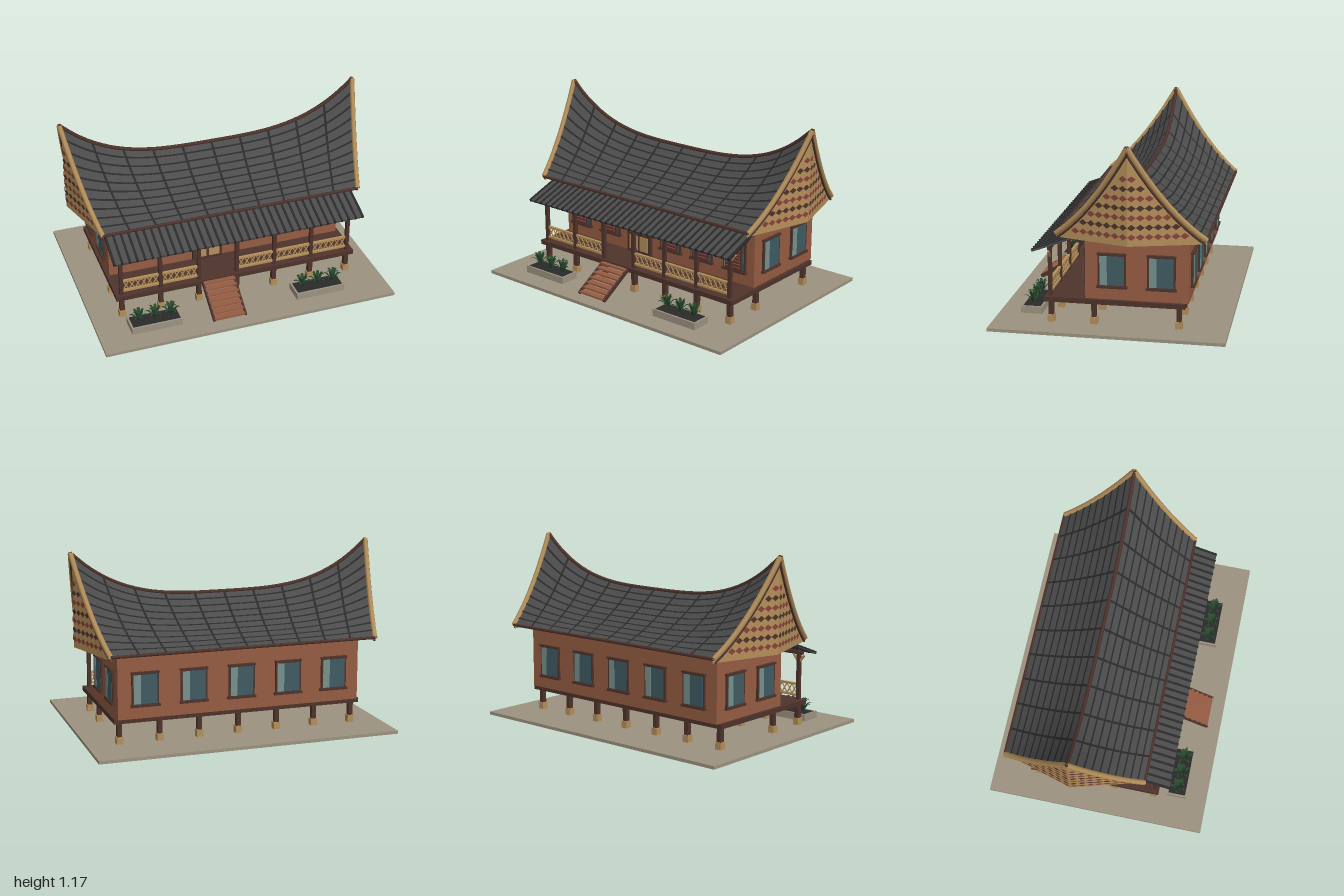
import * as THREE from 'three';
import { mergeGeometries } from 'three/addons/utils/BufferGeometryUtils.js';
import { ParametricGeometry } from 'three/addons/geometries/ParametricGeometry.js';

const mat = (name, color, side = THREE.FrontSide) => {
  const m = new THREE.MeshStandardMaterial({ color, side });
  m.name = name;
  return m;
};
const V = (x, y, z) => new THREE.Vector3(x, y, z);

// Roof constants: ridge line, half depth, end overhang
const RZ = -0.14, HALF = 0.45, EAVE = 0.605, END = 0.985, TAPER = 0.13;
const ridgeY = u => 0.875 + 0.29 * Math.pow(Math.abs(u), 3.3);
const sag = s => 1 - s - 0.4 * s * (1 - s);
const roofPoint = (u, s, side, lift = 0) =>
  V(u * (END - TAPER * s), EAVE + (ridgeY(u) - EAVE) * sag(s) + lift, RZ + side * (HALF * s + lift * 0.5));

export function createModel() {
  const M = {
    roof: mat('roof grey', 0x4b4b4c, THREE.DoubleSide),
    seam: mat('charcoal', 0x2b2a2b, THREE.DoubleSide),
    wall: mat('terracotta wall', 0x965c42),
    wood: mat('dark wood', 0x4e332b, THREE.DoubleSide),
    tan: mat('tan wood', 0xb48f5a, THREE.DoubleSide),
    stone: mat('stone', 0x9c9280),
    glass: mat('dark glass', 0x3f5b62),
    glint: mat('light glass', 0x76918d),
    red: mat('brick red', 0x87423a, THREE.DoubleSide),
    leaf: mat('leaf green', 0x2b4a30, THREE.DoubleSide),
  };
  const house = new THREE.Group();
  house.name = 'house';
  const add = (name, geo, m, parent = house) => {
    const mesh = new THREE.Mesh(geo, m);
    mesh.name = name;
    parent.add(mesh);
    return mesh;
  };
  const group = name => {
    const g = new THREE.Group();
    g.name = name;
    house.add(g);
    return g;
  };
  const box = (name, w, h, d, x, y, z, m, parent) => {
    const b = add(name, new THREE.BoxGeometry(w, h, d), m, parent);
    b.position.set(x, y, z);
    return b;
  };
  // Square bar between two points
  const bar = (name, a, b, w, h, m, parent) => {
    const mesh = add(name, new THREE.BoxGeometry(w, h, a.distanceTo(b)), m, parent);
    mesh.position.copy(a).add(b).multiplyScalar(0.5);
    mesh.lookAt(b);
    return mesh;
  };
  const tube = (name, pts, r, m, parent) =>
    add(name, new THREE.TubeGeometry(new THREE.CatmullRomCurve3(pts), 40, r, 6), m, parent);

  // Ground, deck and walls
  box('ground', 1.94, 0.02, 1.44, 0, 0.01, 0, M.stone);
  box('deck', 1.62, 0.03, 0.86, 0, 0.17, -0.03, M.wood);
  box('walls', 1.58, 0.45, 0.63, 0, 0.41, -0.165, M.wall);

  // Stilts on stone feet, porch posts with braces
  const postX = [-0.77, -0.513, -0.257, 0, 0.257, 0.513, 0.77];
  const stilts = group('stilts'), porch = group('porch');
  for (const x of postX) {
    for (const z of [0.365, 0.1, -0.42]) {
      box('foot', 0.042, 0.045, 0.042, x, 0.0425, z, M.tan, stilts);
      box('stilt', 0.03, 0.09, 0.03, x, 0.11, z, M.wood, stilts);
    }
    box('porchPost', 0.024, 0.32, 0.022, x, 0.345, 0.37, M.wood, porch);
    for (const s of [-1, 1])
      bar('brace', V(x, 0.425, 0.37), V(x + s * 0.04, 0.475, 0.37), 0.012, 0.012, M.tan, porch);
  }
  box('porchBeam', 1.6, 0.022, 0.02, 0, 0.49, 0.37, M.wood, porch);

  // Railings with crossed lattice, open at the stair
  for (let i = 0; i < 6; i++) {
    if (i === 2) continue;
    const x0 = postX[i] + 0.012, w = postX[i + 1] - postX[i] - 0.024, n = 6;
    for (const y of [0.283, 0.212])
      box('rail', w, 0.013, 0.018, x0 + w / 2, y, 0.37, M.tan, porch);
    for (let k = 0; k < n; k++)
      for (const s of [0, 1])
        bar('lattice', V(x0 + (k + s) * w / n, 0.216, 0.37), V(x0 + (k + 1 - s) * w / n, 0.28, 0.37), 0.006, 0.006, M.tan, porch);
  }

  // Sloping ribbed porch roof
  const slope = Math.atan2(0.11, 0.3);
  const awning = group('porchRoof');
  awning.position.set(0, 0.536, 0.314);
  awning.rotation.x = slope;
  box('sheet', 1.67, 0.012, 0.325, 0, 0, 0, M.roof, awning);
  for (let i = 0; i <= 34; i++)
    box('rib', 0.014, 0.018, 0.327, -0.828 + i * 1.656 / 34, 0.002, 0, M.seam, awning);

  // Curved saddle roof with seams
  const patch = (u0, u1, s0, s1, nu, nv, side, lift) => new ParametricGeometry((a, b, t) =>
    t.copy(roofPoint(-side * (u0 + (u1 - u0) * a), s0 + (s1 - s0) * b, side, lift)), nu, nv);
  for (const side of [1, -1]) {
    add('roofSlope', patch(-1, 1, 0, 1, 48, 14, side, 0), M.roof);
    const seams = [];
    for (let i = 1; i < 10; i++) {
      const u = -1 + i * 0.2;
      seams.push(patch(u - 0.008, u + 0.008, 0, 1, 1, 14, side, 0.007));
    }
    for (let j = 1; j < 10; j++)
      seams.push(patch(-1, 1, j / 10 - 0.01, j / 10 + 0.01, 48, 1, side, 0.005));
    add('roofSeams', mergeGeometries(seams), M.seam);
    const eave = [];
    for (let i = 0; i <= 12; i++) eave.push(roofPoint(-1 + i / 6, 1, side));
    tube('eaveTrim', eave, 0.01, M.wood);
  }
  const ridge = [];
  for (let i = 0; i <= 20; i++) ridge.push(roofPoint(-1 + i / 10, 0, 1, 0.002));
  tube('ridgeCap', ridge, 0.012, M.wood);

  // Folded gable ends with diamond pattern and barge boards
  const halfWidth = y => {
    let s = 0;
    while (s < 1 && EAVE + (ridgeY(1) - EAVE) * sag(s) > y) s += 0.005;
    return s * HALF;
  };
  const toGable = (geo, sx, sz, out) => {
    const p = geo.attributes.position;
    for (let i = 0; i < p.count; i++) {
      const d = p.getX(i);
      p.setXYZ(i, sx * (END - 0.008 - TAPER * d / HALF + out), p.getY(i), RZ + sz * d);
    }
    geo.computeVertexNormals();
    return geo;
  };
  const outline = [[0, 0.58]];
  for (let i = 10; i >= 0; i--) outline.push([HALF * i / 10, EAVE + (ridgeY(1) - EAVE) * sag(i / 10)]);
  outline.splice(1, 0, [HALF, 0.58]);
  const shapeOf = pts => new THREE.ShapeGeometry(new THREE.Shape(pts.map(p => new THREE.Vector2(...p))));
  for (const sx of [1, -1]) for (const sz of [1, -1]) {
    const gable = group('gable');
    add('gablePanel', toGable(shapeOf(outline), sx, sz, 0), M.tan, gable);
    const diamonds = [[], []];
    for (let r = 0; r < 7; r++) {
      const y = 0.636 + r * 0.0575, n = Math.floor((halfWidth(y) - 0.018) / 0.05);
      for (let k = 0; k < n; k++) {
        const d = (k + 0.5) * 0.05;
        diamonds[r % 2].push(toGable(shapeOf([[d - 0.025, y], [d, y - 0.019], [d + 0.025, y], [d, y + 0.019]]), sx, sz, 0.005));
      }
    }
    add('redDiamonds', mergeGeometries(diamonds[0]), M.red, gable);
    add('brownDiamonds', mergeGeometries(diamonds[1]), M.wood, gable);
    const edge = [], inner = [];
    for (let i = 0; i <= 10; i++) {
      edge.push(roofPoint(sx, i / 10, sz));
      const p = roofPoint(sx, i / 10, sz, -0.022);
      inner.push(p.setX(p.x + sx * 0.003));
    }
    tube('bargeBoard', edge, 0.017, M.tan, gable);
    tube('bargeLining', inner, 0.007, M.wood, gable);
  }

  // Windows, built facing +z then turned to their wall
  const makeWindow = (x, z, turn, shutter) => {
    const g = group('window');
    g.position.set(x, 0.37, z);
    g.rotation.y = turn;
    box('frame', 0.17, 0.205, 0.016, 0, 0, 0, M.wood, g);
    box('glass', 0.148, 0.182, 0.006, 0, 0, 0.007, M.glass, g);
    box('lightPane', 0.045, 0.182, 0.006, -0.0515, 0, 0.0085, M.glint, g);
    box('sill', 0.186, 0.014, 0.026, 0, -0.103, 0.004, M.wood, g);
    box('lintel', 0.178, 0.012, 0.022, 0, 0.103, 0.004, M.wood, g);
    if (!shutter) return;
    box('shutterFrame', 0.125, 0.185, 0.01, 0, 0, 0.015, M.wood, g);
    for (let i = 0; i < 8; i++)
      box('slat', 0.108, 0.016, 0.008, 0, -0.077 + i * 0.022, 0.021, M.red, g).rotation.x = 0.3;
  };
  for (const x of [-0.655, -0.39, 0.13, 0.385, 0.645]) makeWindow(x, 0.155, 0, true);
  for (let i = -2; i <= 2; i++) makeWindow(i * 0.31, -0.485, Math.PI, false);
  for (const sx of [1, -1]) for (const z of [-0.015, -0.315]) makeWindow(sx * 0.795, z, sx * Math.PI / 2, false);

  // Double door
  const door = group('door');
  door.position.set(-0.13, 0, 0.16);
  box('doorFrame', 0.2, 0.285, 0.02, 0, 0.3275, 0, M.wood, door);
  for (const s of [-1, 1]) {
    box('upperPanel', 0.07, 0.13, 0.008, s * 0.044, 0.392, 0.011, M.tan, door);
    box('lowerPanel', 0.07, 0.1, 0.008, s * 0.044, 0.257, 0.011, M.tan, door);
  }

  // Stair
  const stair = group('stair');
  for (let i = 0; i < 7; i++)
    box('tread', 0.21, 0.012, 0.045, -0.135, 0.035 + i * 0.0225, 0.61 - i * 0.034, M.wall, stair);
  for (const s of [-1, 1])
    bar('stringer', V(-0.135 + s * 0.105, 0.025, 0.63), V(-0.135 + s * 0.105, 0.17, 0.395), 0.012, 0.025, M.wood, stair);

  // Planters with arching leaves
  const leafGeo = (len, h) => new ParametricGeometry((a, b, t) => {
    const w = 0.011 * Math.sin(Math.PI * (0.15 + 0.85 * b));
    t.set(len * b, h * Math.sin(2 * b) - Math.abs(a - 0.5) * w * -0.5, (a - 0.5) * 2 * w);
  }, 2, 5);
  for (const px of [-0.6, 0.505]) {
    const planter = group('planter');
    planter.position.set(px, 0, 0.518);
    box('trough', 0.33, 0.04, 0.135, 0, 0.04, 0, M.stone, planter);
    for (const s of [-1, 1]) {
      box('longRim', 0.334, 0.012, 0.012, 0, 0.06, s * 0.062, M.stone, planter);
      box('shortRim', 0.012, 0.012, 0.135, s * 0.161, 0.06, 0, M.stone, planter);
    }
    box('soil', 0.312, 0.006, 0.115, 0, 0.061, 0, M.seam, planter);
    for (let p = -1; p <= 1; p++) for (let k = 0; k < 11; k++) {
      const leaf = add('leaf', leafGeo(k % 2 ? 0.062 : 0.04, k % 2 ? 0.06 : 0.088), M.leaf, planter);
      leaf.position.set(p * 0.105, 0.062, 0);
      leaf.rotation.y = k * 2 * Math.PI / 11 + p;
    }
  }
  return house;
}
